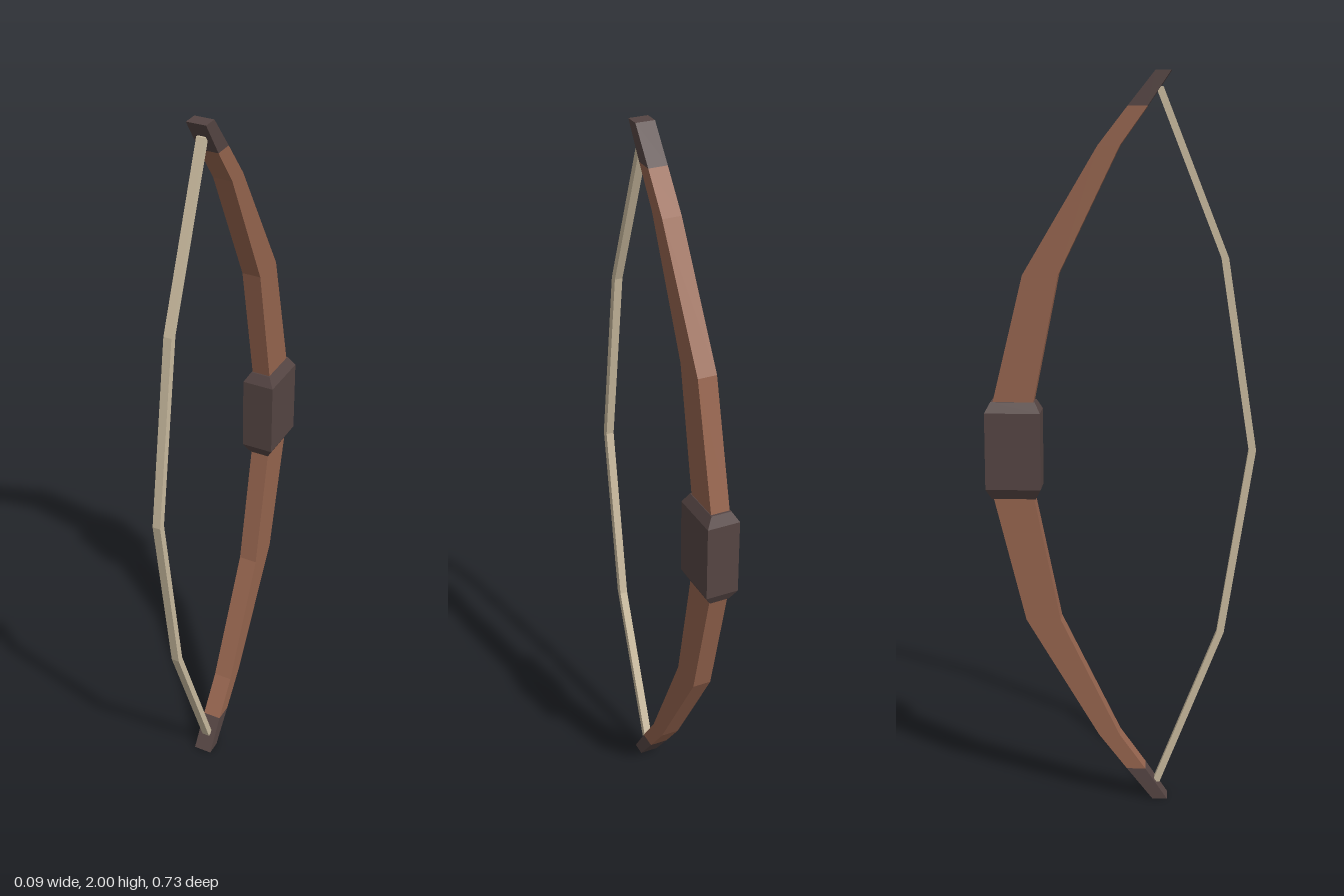
import * as THREE from 'three';

// Lofts a closed solid through level rectangles [y, zBack, zFront, halfWidth], listed upwards
function loft(name, sections, material) {
  const rings = sections.map(([y, z0, z1, h]) => [
    [-h, y, z0], [h, y, z0], [h, y, z1], [-h, y, z1],
  ]);
  const pos = [];
  const quad = (a, b, c, d) => pos.push(...a, ...b, ...c, ...a, ...c, ...d);
  for (let k = 0; k < rings.length - 1; k++) {
    const a = rings[k], b = rings[k + 1];
    for (let i = 0; i < 4; i++) {
      const j = (i + 1) % 4;
      quad(a[i], b[i], b[j], a[j]);
    }
  }
  const first = rings[0], last = rings[rings.length - 1];
  quad(first[0], first[1], first[2], first[3]);
  quad(last[0], last[3], last[2], last[1]);
  const geometry = new THREE.BufferGeometry();
  geometry.setAttribute('position', new THREE.Float32BufferAttribute(pos, 3));
  geometry.computeVertexNormals();
  const mesh = new THREE.Mesh(geometry, material);
  mesh.name = name;
  return mesh;
}

// The same sections reflected about the middle of the bow, again listed upwards
const mirrored = (sections) =>
  sections.map(([y, ...rest]) => [2 - y, ...rest]).reverse();

export function createModel() {
  const paint = (name, color) =>
    new THREE.MeshStandardMaterial({ name, color, flatShading: true });
  const wood = paint('wood', 0x95644e);
  const leather = paint('dark leather', 0x554543);
  const cord = paint('cord', 0xcabb9f);

  const bow = new THREE.Group();
  bow.name = 'bow';
  const W = 0.026;

  // Curved limbs and their dark tips
  const limb = [
    [1.0, -0.345, -0.235, W],
    [1.13, -0.345, -0.235, W],
    [1.475, -0.26, -0.165, W],
    [1.81, -0.06, -0.002, W],
    [1.91, 0.018, 0.07, W],
  ];
  const tip = [
    [1.91, 0.018, 0.07, W],
    [2.0, 0.09, 0.131, W],
  ];
  bow.add(loft('upperLimb', limb, wood), loft('lowerLimb', mirrored(limb), wood));
  bow.add(loft('upperTip', tip, leather), loft('lowerTip', mirrored(tip), leather));

  // Wrapped grip with bevelled ends
  bow.add(loft('grip', [
    [0.868, -0.35, -0.23, 0.028],
    [0.897, -0.365, -0.215, 0.045],
    [1.107, -0.365, -0.215, 0.045],
    [1.135, -0.35, -0.23, 0.028],
  ], leather));

  // Drawn string, bent at the middle and halfway along each side
  const path = [
    [0.045, 0.1], [0.49, 0.275], [1.005, 0.355], [1.52, 0.275], [1.96, 0.1],
  ];
  bow.add(loft('string', path.map(([y, z]) => [y, z - 0.01, z + 0.01, 0.011]), cord));

  return bow;
}
